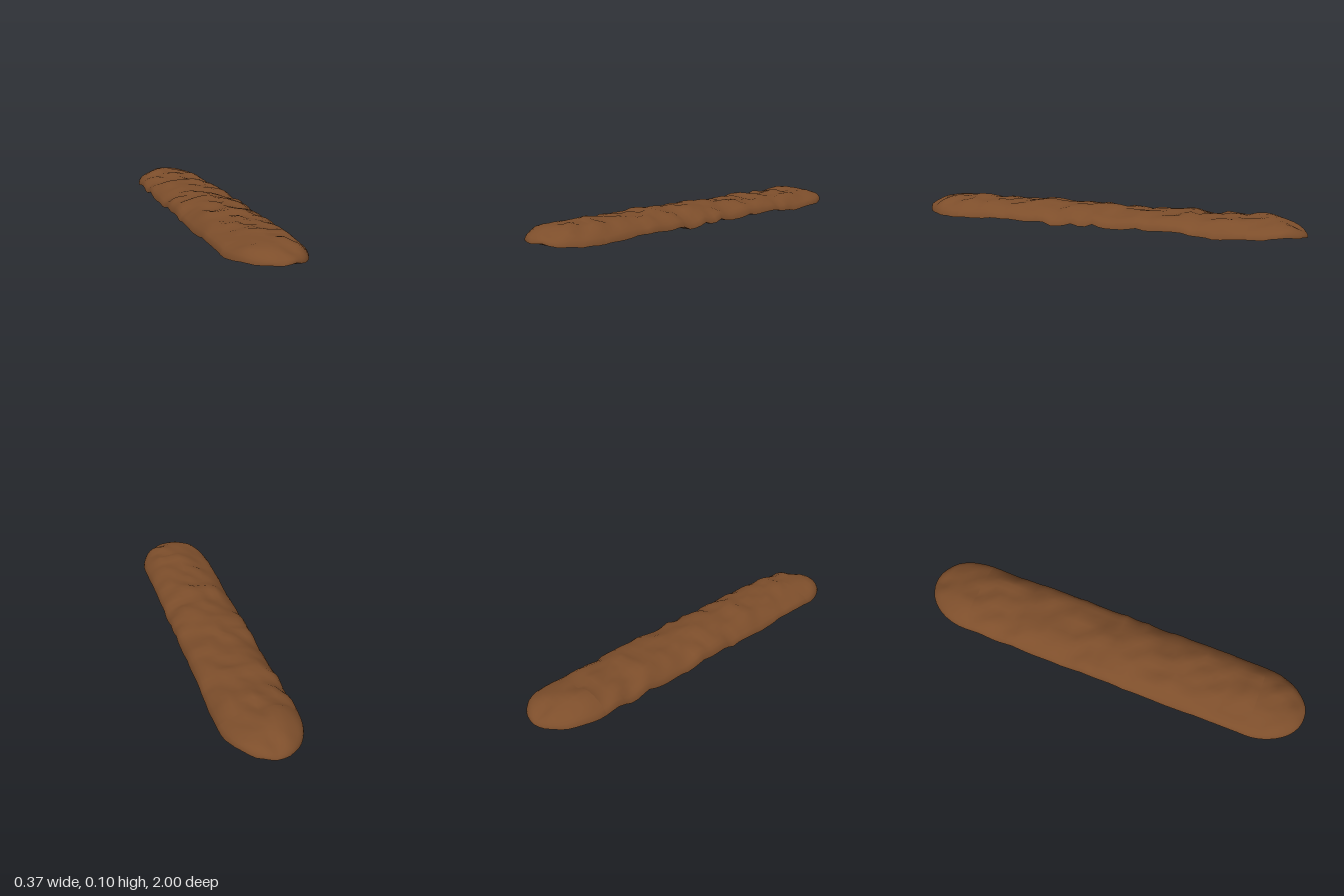
import * as THREE from 'three';

const HALF_WIDTH = 0.185, HEIGHT = 0.076, BASE = 0.016, BUMP = 0.016;
const BODY_END = 0.75, CAP_LENGTH = 0.25, ARC_STEPS = 16;

// Repeatable value noise in the range -1..1
function hash(i, j) {
  const s = Math.sin(i * 127.1 + j * 311.7 + 4.7) * 43758.5453;
  return (s - Math.floor(s)) * 2 - 1;
}
function noise(x, z) {
  const u = x / 0.055, v = z / 0.055;
  const i = Math.floor(u), j = Math.floor(v);
  const low = THREE.MathUtils.lerp(hash(i, j), hash(i + 1, j), u - i);
  const high = THREE.MathUtils.lerp(hash(i, j + 1), hash(i + 1, j + 1), u - i);
  return THREE.MathUtils.lerp(low, high, v - j);
}

// Half-elliptic arc at z, from the +x edge over the top to the -x edge
function arc(z, scale) {
  const points = [];
  for (let j = 0; j <= ARC_STEPS; j++) {
    const a = (j / ARC_STEPS) * Math.PI;
    const x = HALF_WIDTH * scale * Math.cos(a);
    const y = BASE + HEIGHT * scale * Math.sin(a) + BUMP * noise(x, z);
    points.push(new THREE.Vector3(x, Math.max(y, 0), z));
  }
  return points;
}

// Skin over rows of points that advance along +z
function skin(rows) {
  const n = rows[0].length, index = [];
  for (let i = 0; i < rows.length - 1; i++) {
    for (let j = 0; j < n - 1; j++) {
      const a = i * n + j, b = a + n;
      index.push(a, a + 1, b, a + 1, b + 1, b);
    }
  }
  const geometry = new THREE.BufferGeometry().setFromPoints(rows.flat());
  geometry.setIndex(index);
  geometry.computeVertexNormals();
  return geometry;
}

export function createModel() {
  const model = new THREE.Group();
  model.name = 'earthMound';
  const soil = new THREE.MeshStandardMaterial({ color: 0x7d4e2b, side: THREE.DoubleSide });

  function addPart(name, rows) {
    const part = new THREE.Group();
    part.name = name;
    const top = new THREE.Mesh(skin(rows), soil);
    top.name = name + 'Top';
    // Underside spans straight from edge to edge
    const under = new THREE.Mesh(skin(rows.map((r) => [r[ARC_STEPS], r[0]])), soil);
    under.name = name + 'Underside';
    part.add(top, under);
    model.add(part);
  }

  // Long straight ridge
  const body = [];
  for (let i = 0; i <= 40; i++) body.push(arc(-BODY_END + (i / 40) * 2 * BODY_END, 1));
  addPart('ridge', body);

  // Rounded ends
  for (const side of [1, -1]) {
    const rows = [];
    for (let i = 0; i <= 10; i++) {
      const t = (i / 10) * Math.PI / 2;
      rows.push(arc(side * (BODY_END + CAP_LENGTH * Math.sin(t)), Math.cos(t)));
    }
    if (side < 0) rows.reverse();
    addPart(side > 0 ? 'frontEnd' : 'backEnd', rows);
  }
  return model;
}
